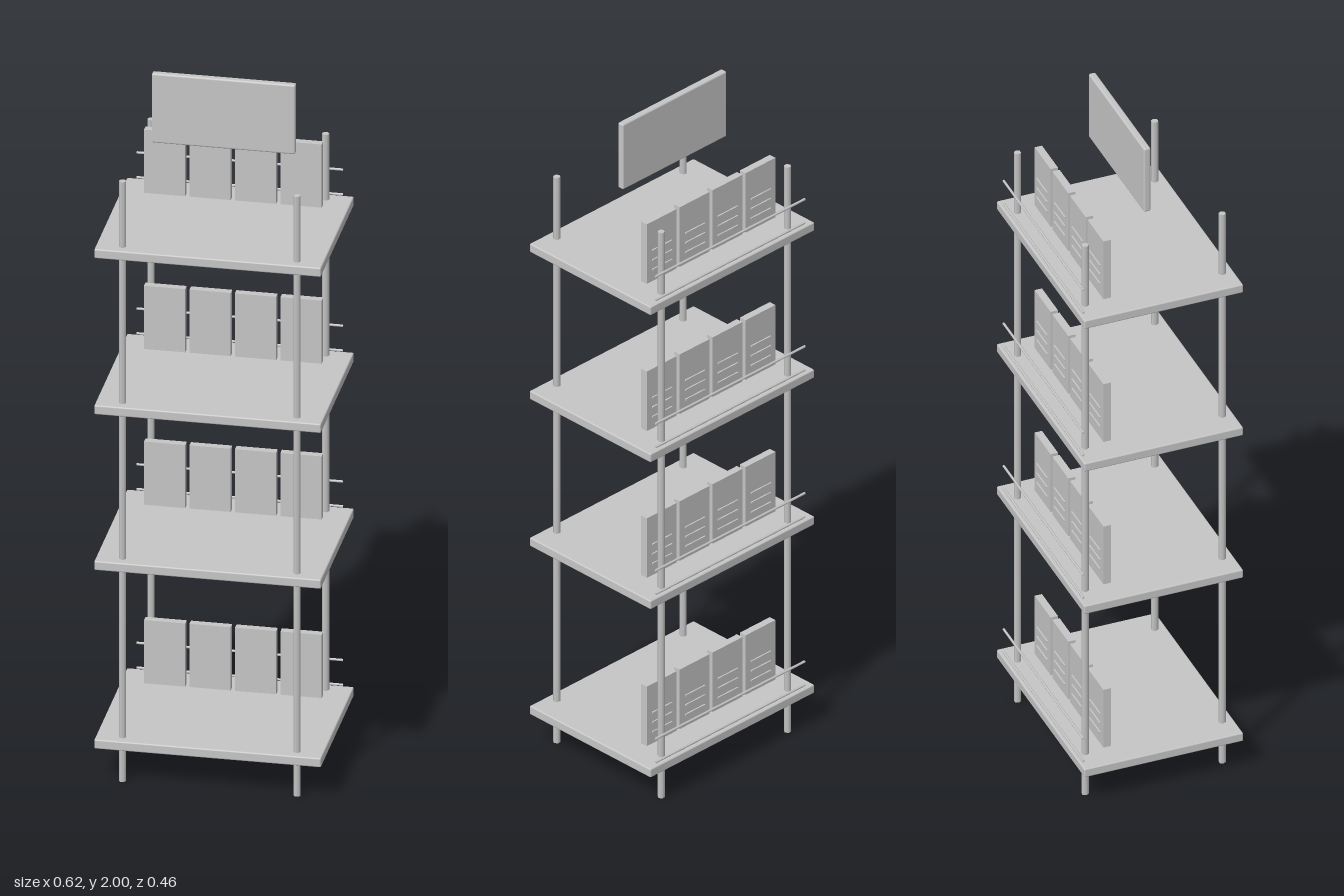
import * as THREE from 'three';
import { RoundedBoxGeometry } from 'three/addons/geometries/RoundedBoxGeometry.js';

export function createModel() {
  const model = new THREE.Group();
  model.name = 'displayShelf';
  const grey = new THREE.MeshStandardMaterial({ color: 0xc6c6c6 });
  grey.name = 'plain grey';

  const add = (parent, name, geometry, x, y, z) => {
    const mesh = new THREE.Mesh(geometry, grey);
    mesh.name = name;
    mesh.position.set(x, y, z);
    parent.add(mesh);
    return mesh;
  };

  // Four six-sided posts
  const postGeo = new THREE.CylinderGeometry(0.01, 0.01, 1.767, 6);
  postGeo.rotateY(Math.PI / 6);
  for (const x of [-0.237, 0.237])
    for (const z of [-0.198, 0.197]) add(model, 'post', postGeo, x, 0.8835, z);

  // Header board floating above the top shelf
  add(model, 'headerBoard', new RoundedBoxGeometry(0.39, 0.204, 0.02, 2, 0.005), 0, 1.898, -0.001);

  const boardGeo = new RoundedBoxGeometry(0.616, 0.027, 0.458, 2, 0.004);
  const railGeo = new THREE.CylinderGeometry(0.0035, 0.0035, 0.56, 8);
  railGeo.rotateZ(Math.PI / 2);
  const cardGeo = new THREE.BoxGeometry(0.112, 0.186, 0.021);
  const stripGeo = new THREE.BoxGeometry(0.074, 0.004, 0.004);

  // Each tier: board, two back rails and four upright cards
  for (const top of [0.129, 0.655, 1.114, 1.574]) {
    const tier = new THREE.Group();
    tier.name = 'tier';
    tier.position.y = top;
    model.add(tier);
    add(tier, 'shelfBoard', boardGeo, 0, -0.0135, 0);
    for (const y of [0.007, 0.08]) add(tier, 'backRail', railGeo, 0, y, -0.22);
    for (let i = 0; i < 4; i++) {
      const x = -0.186 + i * 0.1235;
      add(tier, 'card', cardGeo, x, 0.101, -0.1365);
      // Fine raised strips on the back of the card
      for (const y of [0.045, 0.075, 0.105]) add(tier, 'cardStrip', stripGeo, x, y, -0.149);
    }
  }
  return model;
}
